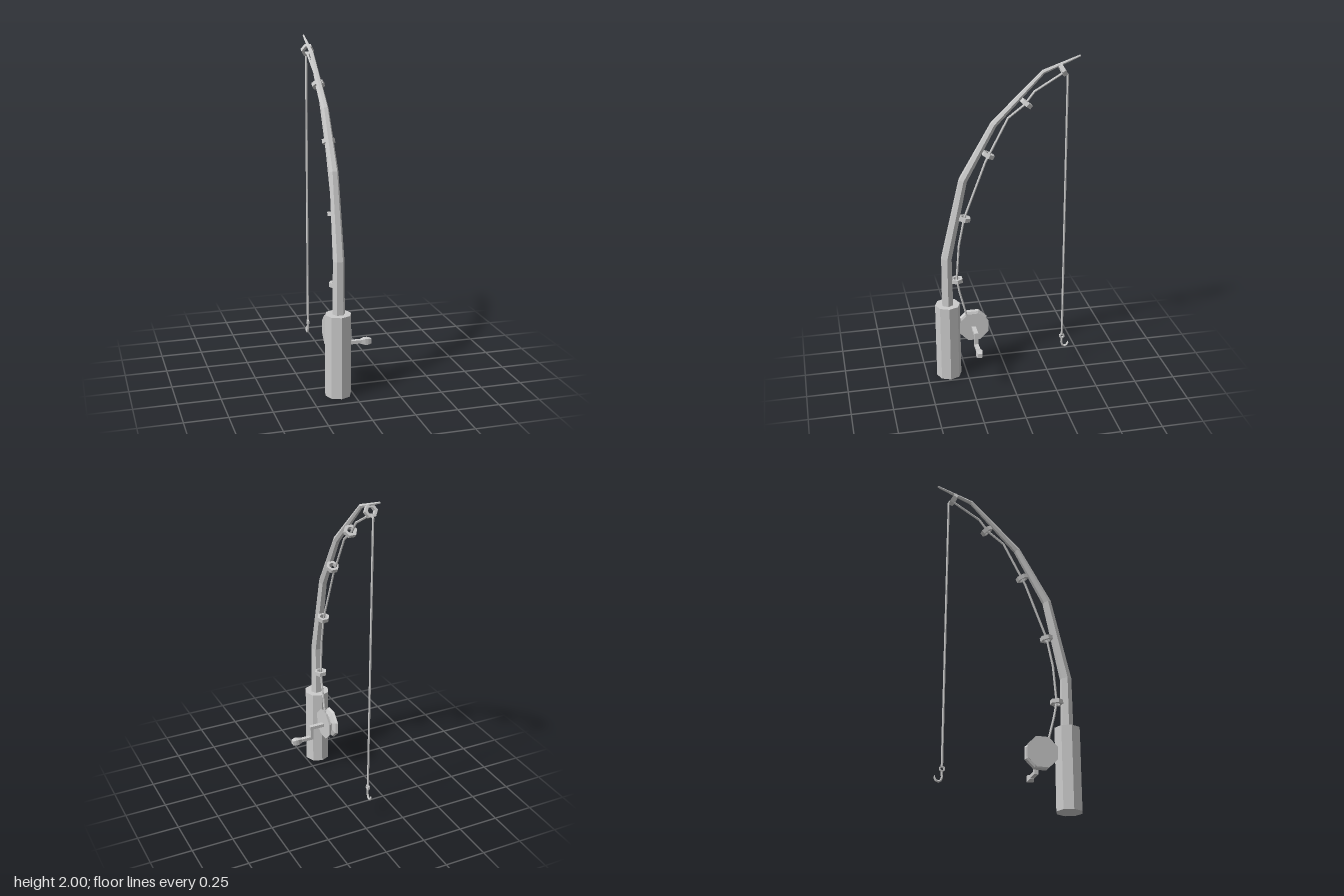
import * as THREE from 'three';

const material = new THREE.MeshStandardMaterial({ color: 0xcccccc, flatShading: true, side: THREE.DoubleSide });

// Capped tube through points [x, y, z, radius] that bend in the yz plane
function loft(points, sides) {
  const pos = [], index = [];
  const P = points.map(p => new THREE.Vector3(p[0], p[1], p[2]));
  const n = P.length, u = new THREE.Vector3(1, 0, 0);
  const dir = (a, b) => P[b].clone().sub(P[a]).normalize();
  for (let i = 0; i < n; i++) {
    const t = new THREE.Vector3();
    if (i > 0) t.add(dir(i - 1, i));
    if (i < n - 1) t.add(dir(i, i + 1));
    const v = t.normalize().cross(u).normalize();
    for (let j = 0; j < sides; j++) {
      const a = j / sides * Math.PI * 2, r = points[i][3];
      pos.push(...P[i].clone().addScaledVector(u, r * Math.cos(a)).addScaledVector(v, r * Math.sin(a)).toArray());
    }
  }
  for (let i = 0; i < n - 1; i++) for (let j = 0; j < sides; j++) {
    const k = (j + 1) % sides, a = i * sides + j, b = i * sides + k;
    index.push(a, b, a + sides, b, b + sides, a + sides);
  }
  const last = (n - 1) * sides;
  for (let j = 1; j < sides - 1; j++) index.push(0, j + 1, j, last, last + j, last + j + 1);
  const g = new THREE.BufferGeometry();
  g.setAttribute('position', new THREE.Float32BufferAttribute(pos, 3));
  g.setIndex(index);
  g.computeVertexNormals();
  return g;
}

// Square-section ring around y, used for guides and the hook eye
function ringGeometry(inner, outer, height) {
  const h = height / 2;
  const profile = [[inner, -h], [outer, -h], [outer, h], [inner, h], [inner, -h]].map(p => new THREE.Vector2(...p));
  return new THREE.LatheGeometry(profile, 6, Math.PI / 6);
}

export function createModel() {
  const group = new THREE.Group();
  const add = (name, geometry, x = 0, y = 0, z = 0, parent = group) => {
    const mesh = new THREE.Mesh(geometry, material);
    mesh.name = name;
    mesh.position.set(x, y, z);
    parent.add(mesh);
    return mesh;
  };

  // Octagonal grip
  add('handle', new THREE.CylinderGeometry(0.077, 0.077, 0.49, 8), -0.086, 0.245, 0.362);

  // Tapered, bent rod
  add('rod', loft([
    [-0.083, 0.46, 0.362, 0.037], [-0.083, 0.8, 0.362, 0.034], [-0.081, 1.29, 0.255, 0.027],
    [-0.08, 1.62, 0.07, 0.021], [-0.083, 1.91, -0.22, 0.013], [-0.077, 1.995, -0.435, 0.006],
  ], 6));

  // Line guides: x, y, z, tilt in degrees
  const guides = [
    [-0.085, 0.648, 0.302, 0], [-0.079, 1.05, 0.25, 13], [-0.07, 1.44, 0.105, 28],
    [-0.07, 1.735, -0.12, 40], [-0.08, 1.917, -0.333, 60],
  ];
  for (const [x, y, z, tilt] of guides) {
    const ring = add('lineGuide', ringGeometry(0.022, 0.039, 0.025), x, y, z);
    ring.rotation.x = -THREE.MathUtils.degToRad(tilt);
  }

  // Line from the reel through the guides and down to the hook
  const line = [
    [-0.085, 0.36, 0.235], [-0.085, 0.42, 0.25], [-0.086, 0.56, 0.285], [-0.086, 0.65, 0.302],
    [-0.085, 0.873, 0.285], [-0.083, 1.05, 0.25], [-0.085, 1.39, 0.12], [-0.085, 1.65, -0.016],
    [-0.08, 1.725, -0.112], [-0.08, 1.8, -0.17], [-0.08, 1.898, -0.335], [-0.08, 1.9, -0.355],
    [-0.08, 1.885, -0.364], [-0.08, 0.2, -0.364],
  ];
  add('line', loft(line.map(p => [...p, 0.007]), 6));

  // Hook with its eye
  const hook = new THREE.Group();
  hook.name = 'hook';
  hook.position.set(-0.08, 0, 0);
  group.add(hook);
  add('hookEye', ringGeometry(0.009, 0.018, 0.012), 0, 0.187, -0.364, hook).rotation.z = Math.PI / 2;
  add('hookBend', loft([
    [0, 0.175, -0.364, 0.007], [0, 0.14, -0.362, 0.007], [0, 0.122, -0.369, 0.007], [0, 0.114, -0.382, 0.007],
    [0, 0.119, -0.396, 0.007], [0, 0.134, -0.404, 0.006], [0, 0.148, -0.404, 0.001],
  ], 6), 0, 0, 0, hook);

  // Reel spool, pinched in the middle
  const spool = [[0, -0.03], [0.097, -0.03], [0.09, -0.015], [0.06, -0.004], [0.06, 0.004], [0.09, 0.015], [0.097, 0.03], [0, 0.03]];
  const reel = add('reel', new THREE.LatheGeometry(spool.map(p => new THREE.Vector2(...p)), 8, Math.PI / 8), -0.085, 0.33, 0.203);
  reel.rotation.z = -Math.PI / 2;

  // Crank: shaft, arm, lower shaft and flared knob
  const crank = new THREE.Group();
  crank.name = 'crank';
  crank.position.z = 0.207;
  group.add(crank);
  add('crankShaft', new THREE.BoxGeometry(0.095, 0.02, 0.025), -0.012, 0.323, 0, crank);
  add('crankArm', new THREE.BoxGeometry(0.02, 0.094, 0.025), 0.027, 0.286, 0, crank);
  add('crankStub', new THREE.BoxGeometry(0.07, 0.02, 0.025), 0.067, 0.249, 0, crank);
  const knob = [[0, 0.095], [0.016, 0.095], [0.026, 0.122], [0.026, 0.14], [0.019, 0.16], [0, 0.16]];
  const knobMesh = add('crankKnob', new THREE.LatheGeometry(knob.map(p => new THREE.Vector2(...p)), 4, Math.PI / 4), 0, 0.247, 0, crank);
  knobMesh.rotation.z = -Math.PI / 2;

  return group;
}
